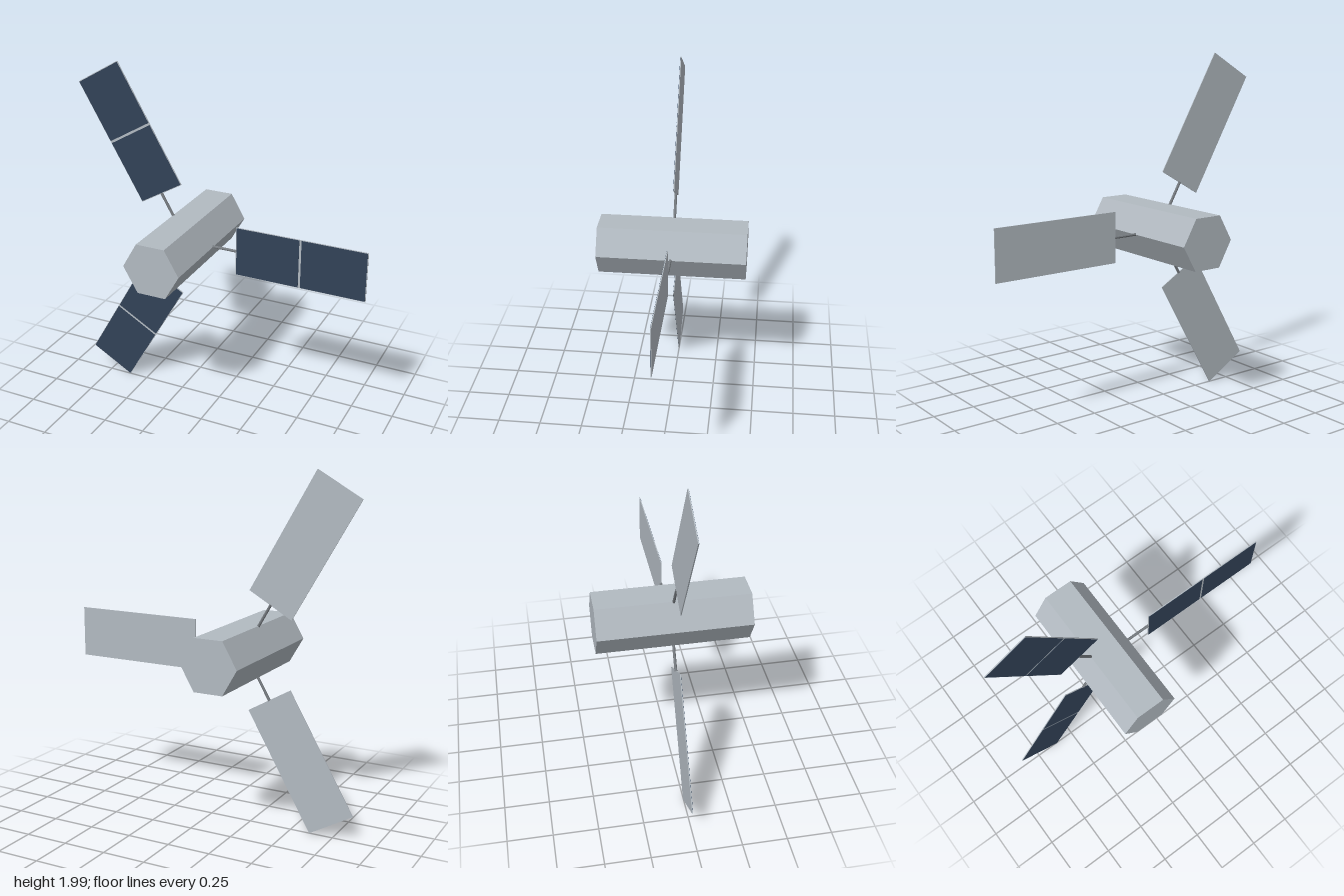
import * as THREE from 'three';

export function createModel() {
  const model = new THREE.Group();
  model.name = 'satellite';

  const hull = new THREE.MeshStandardMaterial({ color: 0xb2bac1, flatShading: true });
  hull.name = 'hull grey';
  const cellBlue = new THREE.MeshStandardMaterial({ color: 0x324257, flatShading: true });
  cellBlue.name = 'solar cell navy';
  const strutGrey = new THREE.MeshStandardMaterial({ color: 0x767b80, flatShading: true });
  strutGrey.name = 'strut grey';

  const add = (parent, name, geometry, material, x = 0, y = 0, z = 0) => {
    const mesh = new THREE.Mesh(geometry, material);
    mesh.name = name;
    mesh.position.set(x, y, z);
    parent.add(mesh);
    return mesh;
  };

  // Everything is placed around the axis of the body
  const hub = new THREE.Group();
  hub.name = 'hub';
  hub.position.set(-0.205, 1, 0);
  model.add(hub);

  // Hexagonal body lying along z, with corners at left and right
  const bodyGeometry = new THREE.CylinderGeometry(0.168, 0.168, 0.855, 6);
  bodyGeometry.rotateY(Math.PI / 2).rotateX(Math.PI / 2);
  bodyGeometry.rotateZ(0);
  add(hub, 'body', bodyGeometry, hull);

  // Three solar wings spread evenly about the body
  const inner = 0.307, outer = 1.068, width = 0.29;
  const middle = (inner + outer) / 2;
  for (let i = 0; i < 3; i++) {
    const wing = new THREE.Group();
    wing.name = `solarWing${i + 1}`;
    wing.rotation.z = (i * Math.PI * 2) / 3;
    hub.add(wing);

    const strutGeometry = new THREE.CylinderGeometry(0.008, 0.008, 0.19, 8).rotateZ(Math.PI / 2);
    add(wing, 'strut', strutGeometry, strutGrey, inner - 0.092);
    add(wing, 'panelFrame', new THREE.BoxGeometry(outer - inner, width, 0.005), hull, middle);

    // Two cell fields on the front of the panel, parted by a narrow rib
    for (const side of [-1, 1]) {
      add(wing, 'solarCells', new THREE.BoxGeometry(0.37, width - 0.006, 0.002), cellBlue,
        middle + side * 0.1915, 0, 0.003);
    }
  }
  return model;
}
